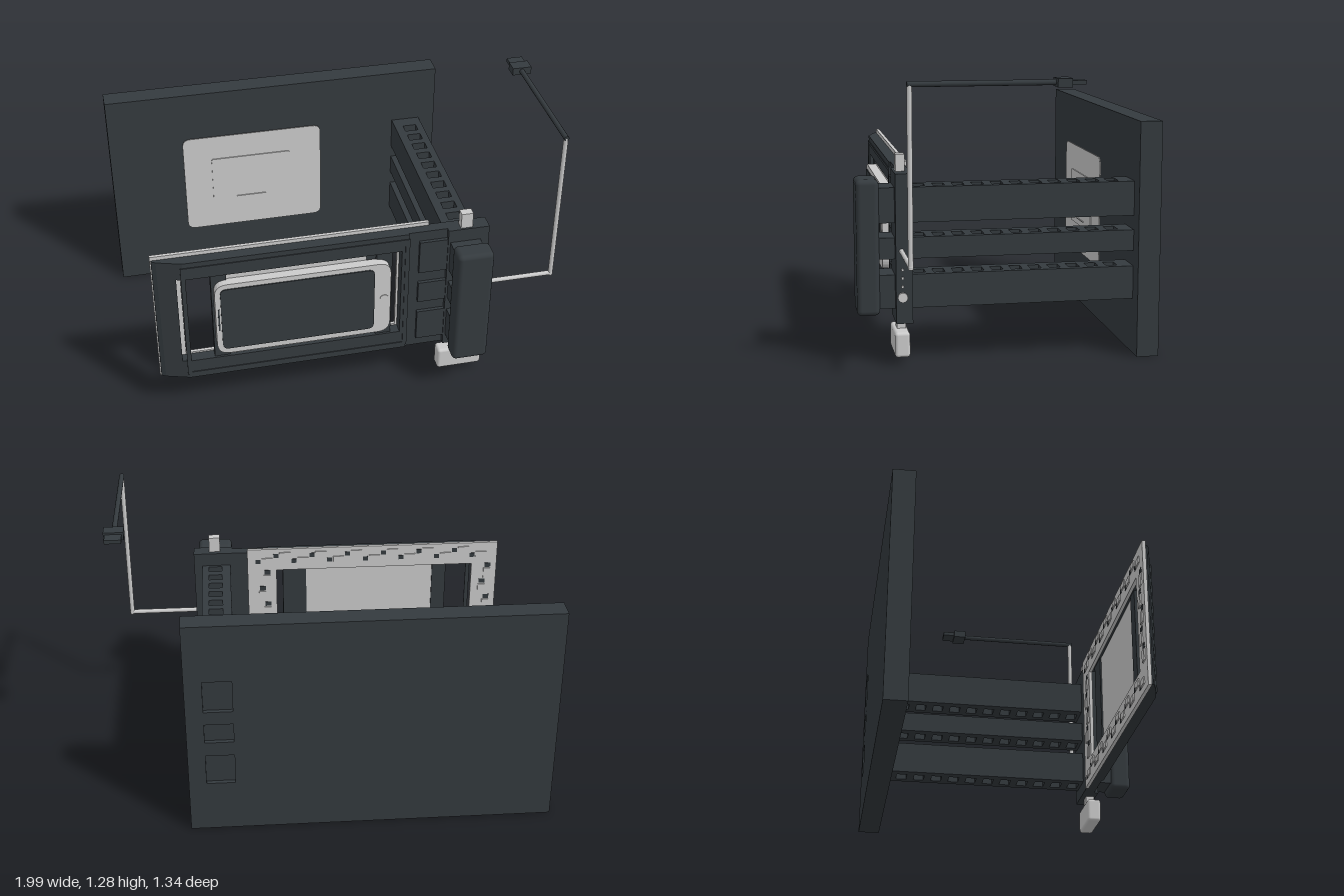
import * as THREE from 'three';
import { RoundedBoxGeometry } from 'three/addons/geometries/RoundedBoxGeometry.js';

const dark = new THREE.MeshStandardMaterial({ color: 0x343a3e });
const grey = new THREE.MeshStandardMaterial({ color: 0xcccccc });

export function createModel() {
  const model = new THREE.Group();

  const add = (name, geometry, material) => {
    const mesh = new THREE.Mesh(geometry, material);
    mesh.name = name;
    model.add(mesh);
    return mesh;
  };
  // Box given by its limits, optionally rounded
  const box = (name, mat, x0, x1, y0, y1, z0, z1, r = 0) => {
    const s = [x1 - x0, y1 - y0, z1 - z0];
    const g = r ? new RoundedBoxGeometry(...s, 3, r) : new THREE.BoxGeometry(...s);
    return add(name, g.translate((x0 + x1) / 2, (y0 + y1) / 2, (z0 + z1) / 2), mat);
  };
  const rect = (x0, x1, y0, y1, Type = THREE.Path) => new Type([
    new THREE.Vector2(x0, y0), new THREE.Vector2(x1, y0),
    new THREE.Vector2(x1, y1), new THREE.Vector2(x0, y1)]);
  // Front-facing shape extruded along z
  const plate = (name, mat, shape, z0, z1) => add(name, new THREE.ExtrudeGeometry(shape,
    { depth: z1 - z0, bevelEnabled: false, curveSegments: 6 }).translate(0, 0, z0), mat);
  // Plan shape (x, -z) extruded upwards
  const slab = (name, mat, shape, y0, y1) => add(name, new THREE.ExtrudeGeometry(shape,
    { depth: y1 - y0, bevelEnabled: false }).rotateX(-Math.PI / 2).translate(0, y0, 0), mat);
  const roundRect = (x0, x1, y0, y1, r) => {
    const s = new THREE.Shape();
    s.moveTo(x0 + r, y0);
    s.lineTo(x1 - r, y0).quadraticCurveTo(x1, y0, x1, y0 + r);
    s.lineTo(x1, y1 - r).quadraticCurveTo(x1, y1, x1 - r, y1);
    s.lineTo(x0 + r, y1).quadraticCurveTo(x0, y1, x0, y1 - r);
    s.lineTo(x0, y0 + r).quadraticCurveTo(x0, y0, x0 + r, y0);
    return s;
  };
  const rod = (name, mat, a, b, r) => {
    const from = new THREE.Vector3(...a), to = new THREE.Vector3(...b);
    const dir = to.clone().sub(from);
    const mesh = add(name, new THREE.CylinderGeometry(r, r, dir.length(), 12), mat);
    mesh.position.copy(from).add(to).multiplyScalar(0.5);
    mesh.quaternion.setFromUnitVectors(new THREE.Vector3(0, 1, 0), dir.normalize());
    return mesh;
  };

  const railHeights = [[0.25, 0.4], [0.47, 0.565], [0.63, 0.785]];

  // Rear panel with a shallow pocket behind each rail
  box('rearPanel', dark, -1, 0.66, 0, 1.06, -0.65, -0.57);
  const skin = rect(-1, 0.66, 0, 1.06, THREE.Shape);
  railHeights.forEach(([a, b]) => skin.holes.push(rect(0.45, 0.58, a, b)));
  plate('rearPanelSkin', dark, skin, -0.67, -0.65);

  // Thin plaque in front of the panel
  plate('plaque', grey, roundRect(-0.64, 0.06, 0.28, 0.82, 0.04), -0.552, -0.547);
  plate('plaqueInset', grey, roundRect(-0.5, -0.1, 0.42, 0.69, 0.01), -0.547, -0.542);
  box('plaqueRidge', grey, -0.38, -0.23, 0.45, 0.455, -0.542, -0.537);

  // Ladder rails with vertical holes
  railHeights.forEach(([a, b]) => {
    const ladder = rect(0.44, 0.58, -0.575, 0.57, THREE.Shape);
    for (let i = 0; i < 11; i++) {
      const c = 0.478 - i * 0.0868;
      ladder.holes.push(rect(0.482, 0.548, c - 0.025, c + 0.025));
    }
    slab('rail', dark, ladder, a, b);
  });
  box('railEndGrip', dark, 0.43, 0.597, 0.222, 0.822, 0.57, 0.67, 0.022);

  // Mounting block
  box('mountBlock', dark, 0.43, 0.62, 0.19, 0.85, 0.43, 0.503);
  box('mountPlate', dark, 0.25, 0.43, 0.19, 0.85, 0.43, 0.482);
  [[0.24, 0.4], [0.46, 0.57], [0.63, 0.8]].forEach(([a, b]) =>
    box('mountPad', dark, 0.3, 0.43, a, b, 0.48, 0.498));

  // Front frame, tapering towards its outer end
  const profile = (right, z) => new THREE.Shape([[-0.9, -0.435], [right, -0.435], [right, -z],
    ...(right > -0.77 ? [[-0.77, -0.49]] : []), [-0.88, -0.457], [-0.9, -0.445]]
    .map(p => new THREE.Vector2(...p)));
  slab('frameTop', dark, profile(0.25, 0.49), 0.76, 0.85);
  slab('frameBottom', dark, profile(0.25, 0.49), 0.19, 0.29);
  slab('frameEnd', dark, profile(-0.8, 0.481), 0.29, 0.76);
  box('frameInnerEnd', dark, 0.22, 0.25, 0.29, 0.76, 0.435, 0.49);
  // Raised rim on the frame face
  const rim = rect(-0.78, 0.255, 0.21, 0.825, THREE.Shape);
  rim.holes.push(rect(-0.76, 0.235, 0.225, 0.81));
  plate('frameRim', dark, rim, 0.488, 0.494);

  // Back lining of the frame with staggered tabs
  const lining = rect(-0.905, 0.355, 0.183, 0.868, THREE.Shape);
  lining.holes.push(rect(-0.778, 0.21, 0.298, 0.752));
  plate('frameLining', grey, lining, 0.422, 0.438);
  for (let i = 0; i < 13; i++) {
    const x = -0.85 + i * 0.09, s = i % 2 ? 0.03 : 0;
    [0.215 + s, 0.79 + s].forEach(y => {
      box('liningTab', grey, x, x + 0.055, y, y + 0.03, 0.416, 0.423);
      box('liningSlot', dark, x + 0.06, x + 0.085, y, y + 0.022, 0.42, 0.423);
    });
  }
  for (let i = 0; i < 5; i++) {
    const y = 0.31 + i * 0.09, s = i % 2 ? 0.025 : 0;
    [-0.875 + s, 0.24 + s].forEach(x => {
      box('liningTab', grey, x, x + 0.035, y, y + 0.055, 0.416, 0.423);
      box('liningSlot', dark, x, x + 0.03, y + 0.06, y + 0.083, 0.42, 0.423);
    });
  }

  // Holder across the window
  box('backPlate', grey, -0.58, 0.06, 0.29, 0.76, 0.452, 0.472);
  box('holderBar', dark, -0.65, -0.58, 0.285, 0.765, 0.445, 0.48);
  box('holderBar', dark, 0.06, 0.105, 0.285, 0.765, 0.445, 0.46);
  box('holderBar', dark, 0.105, 0.178, 0.285, 0.765, 0.445, 0.48);

  // Handheld device with dark screen
  plate('deviceBody', grey, roundRect(-0.64, 0.165, 0.33, 0.725, 0.06), 0.472, 0.516);
  plate('deviceScreen', dark, roundRect(-0.615, 0.088, 0.36, 0.7, 0.03), 0.515, 0.521);
  box('deviceSpeaker', dark, -0.629, -0.622, 0.47, 0.59, 0.514, 0.519);
  rod('deviceButton', grey, [0.135, 0.527, 0.51], [0.135, 0.527, 0.519], 0.02);

  // Vertical slide and its foot
  box('slideBar', grey, 0.489, 0.543, 0.14, 0.925, 0.453, 0.493);
  box('slideFoot', grey, 0.41, 0.625, 0.038, 0.15, 0.443, 0.51, 0.014);

  // Side knob and indicator studs
  rod('sideKnob', grey, [0.61, 0.308, 0.475], [0.633, 0.308, 0.475], 0.022);
  [0.355, 0.393, 0.43].forEach(y =>
    rod('sideStud', grey, [0.61, y, 0.475], [0.628, y, 0.475], 0.006));

  // Jointed arm with plug
  rod('armLower', grey, [0.62, 0.512, 0.478], [0.948, 0.512, 0.478], 0.011);
  rod('armUpright', grey, [0.948, 0.502, 0.478], [0.948, 1.26, 0.478], 0.011);
  add('armElbow', new THREE.SphereGeometry(0.012, 12, 8), grey).position.set(0.948, 0.512, 0.478);
  rod('armUpper', dark, [0.948, 1.26, 0.488], [0.948, 1.26, -0.13], 0.012);
  box('plugBody', dark, 0.904, 0.994, 1.242, 1.278, -0.184, -0.122);
  box('plugTip', dark, 0.912, 0.987, 1.251, 1.269, -0.242, -0.18);

  return model;
}
